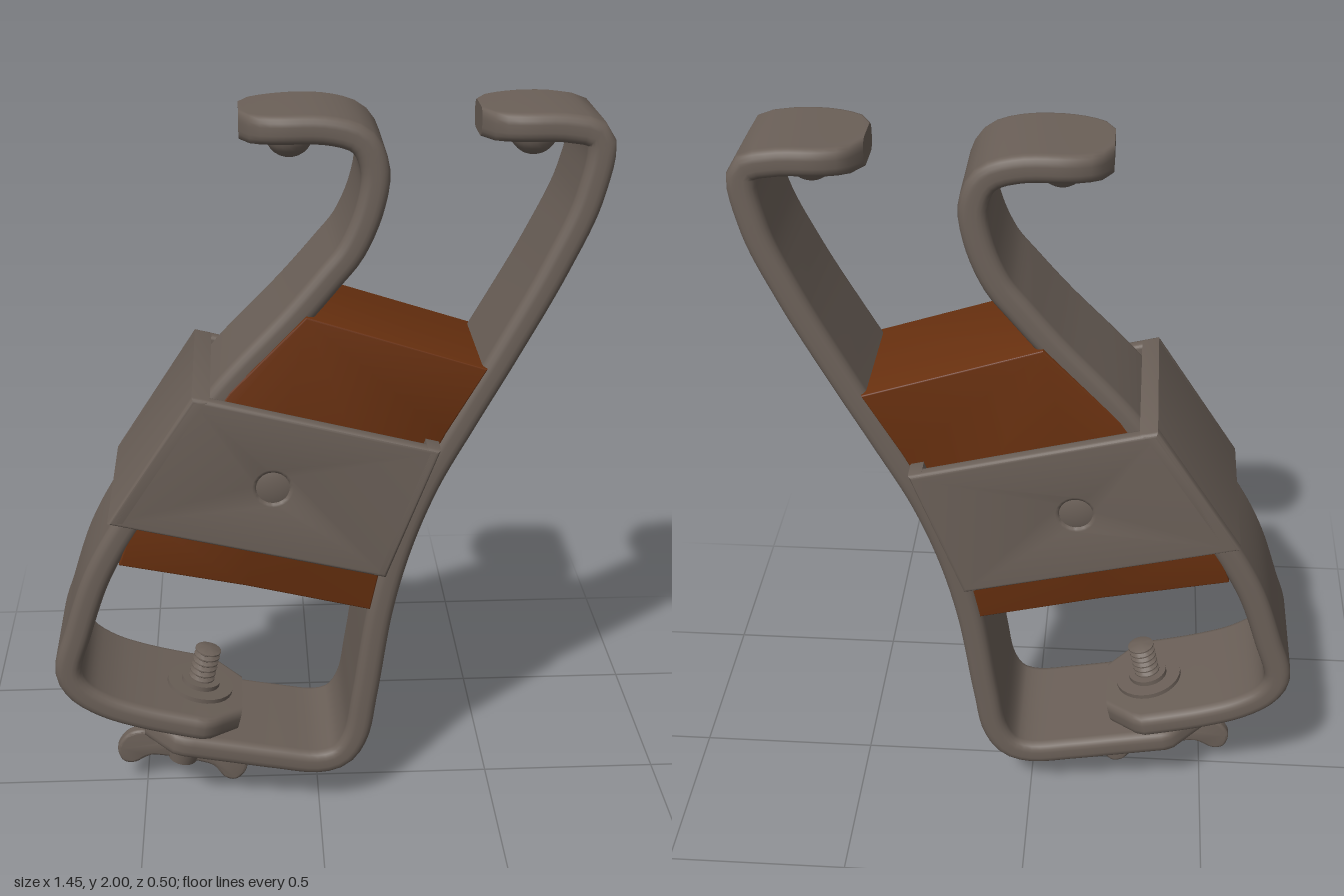
import * as THREE from 'three';
import { toCreasedNormals } from 'three/addons/utils/BufferGeometryUtils.js';

const metal = new THREE.MeshStandardMaterial({ color: 0x6b6058 });
const wood = new THREE.MeshStandardMaterial({ color: 0x68300f });
const v2 = (pts) => pts.map(([x, y]) => new THREE.Vector2(x, y));

function add(parent, name, geometry, material = metal) {
  const mesh = new THREE.Mesh(geometry, material);
  mesh.name = name;
  parent.add(mesh);
  return mesh;
}

// Flat prism in the xy plane, from z0 to z1, with rounded rims
function slab(shape, z0, z1, bevel) {
  const geo = new THREE.ExtrudeGeometry(shape, {
    depth: z1 - z0 - 2 * bevel, bevelEnabled: bevel > 0, bevelSize: bevel,
    bevelThickness: bevel, bevelOffset: -bevel, bevelSegments: 3, curveSegments: 20,
  });
  geo.translate(0, 0, z0 + bevel);
  return toCreasedNormals(geo, 0.6);
}

// Band with a rounded rectangular section swept along a path; start = hook tip
function strapGeometry(path) {
  const curve = new THREE.CatmullRomCurve3(path.map(([x, y]) => new THREE.Vector3(x, y, 0)));
  const steps = 100, half = 0.036, r = 0.026, seg = 4;
  const length = curve.getLength();
  const pos = [], idx = [], count = 4 * (seg + 1);
  const rings = [];
  for (let i = 0; i <= steps; i++) {
    const u = i / steps;
    const p = curve.getPointAt(u), t = curve.getTangentAt(u);
    // narrower towards the hook, with rounded tip and clipped foot
    let w = THREE.MathUtils.mapLinear(THREE.MathUtils.clamp(p.y, 1.1, 2), 1.1, 2, 0.183, 0.147);
    const tip = Math.min(1, u * length / 0.14), foot = Math.min(1, (1 - u) * length / 0.09);
    w *= (0.45 + 0.55 * Math.sqrt(1 - (1 - tip) ** 2)) * (0.55 + 0.45 * foot);
    const ring = [];
    for (let c = 0; c < 4; c++) {
      const sa = c === 0 || c === 3 ? 1 : -1, sb = c < 2 ? 1 : -1;
      for (let k = 0; k <= seg; k++) {
        const ang = (c + k / seg) * Math.PI / 2;
        const a = sa * (half - r) + r * Math.cos(ang);
        const b = sb * (w - r) + r * Math.sin(ang);
        ring.push([p.x - t.y * a, p.y + t.x * a, b]);
      }
    }
    rings.push(ring);
    pos.push(...ring.flat());
  }
  for (let i = 0; i < steps; i++) {
    for (let j = 0; j < count; j++) {
      const a = i * count + j, b = i * count + (j + 1) % count;
      idx.push(a, b, b + count, a, b + count, a + count);
    }
  }
  // end caps with their own vertices
  [0, steps].forEach((i) => {
    const base = pos.length / 3;
    pos.push(...rings[i].flat());
    for (let j = 1; j < count - 1; j++) {
      if (i) idx.push(base, base + j, base + j + 1);
      else idx.push(base, base + j + 1, base + j);
    }
  });
  const geo = new THREE.BufferGeometry();
  geo.setAttribute('position', new THREE.Float32BufferAttribute(pos, 3));
  geo.setIndex(idx);
  geo.computeVertexNormals();
  return geo;
}

export function createModel() {
  const model = new THREE.Group();
  model.name = 'clampBracket';

  // Two bent straps whose feet overlap at the bolt
  add(model, 'longStrap', strapGeometry([
    [0.40, 1.963], [0.61, 1.963], [0.68, 1.94], [0.665, 1.80], [0.59, 1.62], [0.475, 1.40],
    [0.37, 1.21], [0.285, 1.05], [0.215, 0.865], [0.165, 0.665], [0.125, 0.39], [0.10, 0.25],
    [0.06, 0.187], [0, 0.167], [-0.125, 0.185], [-0.255, 0.21], [-0.49, 0.255],
  ]));
  add(model, 'shortStrap', strapGeometry([
    [-0.195, 1.963], [0.03, 1.963], [0.105, 1.935], [0.135, 1.87], [0.125, 1.78], [0.08, 1.67],
    [0.025, 1.60], [-0.06, 1.50], [-0.255, 1.29], [-0.375, 1.115], [-0.505, 0.94],
    [-0.595, 0.78], [-0.655, 0.61], [-0.69, 0.485], [-0.665, 0.425], [-0.60, 0.375],
    [-0.495, 0.333], [-0.225, 0.265],
  ]));

  // Round nubs under the hooks
  for (const x of [-0.07, 0.54]) {
    const nub = add(model, 'hookNub', new THREE.SphereGeometry(0.062, 20, 14));
    nub.position.set(x, 1.932, 0);
  }

  // Wooden block between the straps
  add(model, 'woodBlock', slab(new THREE.Shape(v2([
    [-0.035, 1.508], [-0.23, 1.31], [-0.485, 0.96], [-0.535, 0.82], [-0.2, 0.75],
    [0.135, 0.667], [0.18, 0.89], [0.325, 1.185], [0.425, 1.36],
  ])), -0.176, 0.176, 0.004), wood);

  // Cover wrapped round the block: two cheeks, a closed side and folded lips
  const cover = new THREE.Group();
  cover.name = 'cover';
  model.add(cover);
  const cheek = new THREE.Shape(v2([[-0.325, 1.327], [-0.553, 0.978], [0.17, 0.803], [0.305, 1.168]]));
  cheek.holes.push(new THREE.Path().absarc(-0.125, 1.073, 0.042, 0, Math.PI * 2, true));
  const lip = new THREE.Shape(v2([[0.27, 1.177], [0.136, 0.811], [0.17, 0.803], [0.305, 1.168]]));
  const wall = new THREE.Shape(v2([[-0.325, 1.327], [-0.553, 0.978], [-0.508, 0.967], [-0.28, 1.316]]));
  add(cover, 'coverSide', slab(wall, -0.25, 0.25, 0.012));
  for (const s of [1, -1]) {
    const span = (a, b) => (s > 0 ? [a, b] : [-b, -a]);
    add(cover, 'coverCheek', slab(cheek, ...span(0.212, 0.25), 0.011));
    add(cover, 'coverLip', slab(lip, ...span(0.178, 0.25), 0.011));
    const rivet = add(cover, 'rivet', new THREE.SphereGeometry(1, 28, 16));
    rivet.scale.set(0.078, 0.078, 0.032);
    rivet.position.set(-0.125, 1.073, s * 0.217);
  }

  // Tilted bolt with washers and wing nut
  const bolt = new THREE.Group();
  bolt.name = 'bolt';
  bolt.position.set(-0.373, 0.177, 0);
  bolt.rotation.z = -0.23;
  model.add(bolt);

  const thread = [[0, -0.09], [0.027, -0.09]];
  for (let y = 0.16; y < 0.27; y += 0.018) thread.push([0.027, y], [0.037, y + 0.007], [0.037, y + 0.011]);
  thread.push([0.027, 0.283], [0, 0.286]);
  add(bolt, 'threadedShaft', toCreasedNormals(new THREE.LatheGeometry(v2(thread), 20), 0.5));

  const washer = (name, radius, y) => {
    add(bolt, name, new THREE.CylinderGeometry(radius, radius, 0.022, 28)).position.y = y;
  };
  washer('upperWasher', 0.095, 0.158);
  washer('upperCollar', 0.055, 0.172);
  washer('lowerWasher', 0.105, 0);
  washer('lowerCollar', 0.08, -0.015);

  add(bolt, 'wingNutHub', new THREE.CylinderGeometry(0.06, 0.042, 0.085, 24)).position.y = -0.055;
  for (const s of [1, -1]) {
    const outline = v2([
      [0.02, -0.03], [0.08, -0.047], [0.122, -0.02], [0.17, -0.04], [0.192, -0.09],
      [0.172, -0.133], [0.135, -0.135], [0.09, -0.1], [0.02, -0.088],
    ].map(([x, y]) => [s * x, y]));
    const wing = new THREE.Shape(new THREE.SplineCurve([...outline, outline[0]]).getPoints(40));
    add(bolt, 'wing', slab(wing, -0.018, 0.018, 0.009));
  }

  return model;
}
